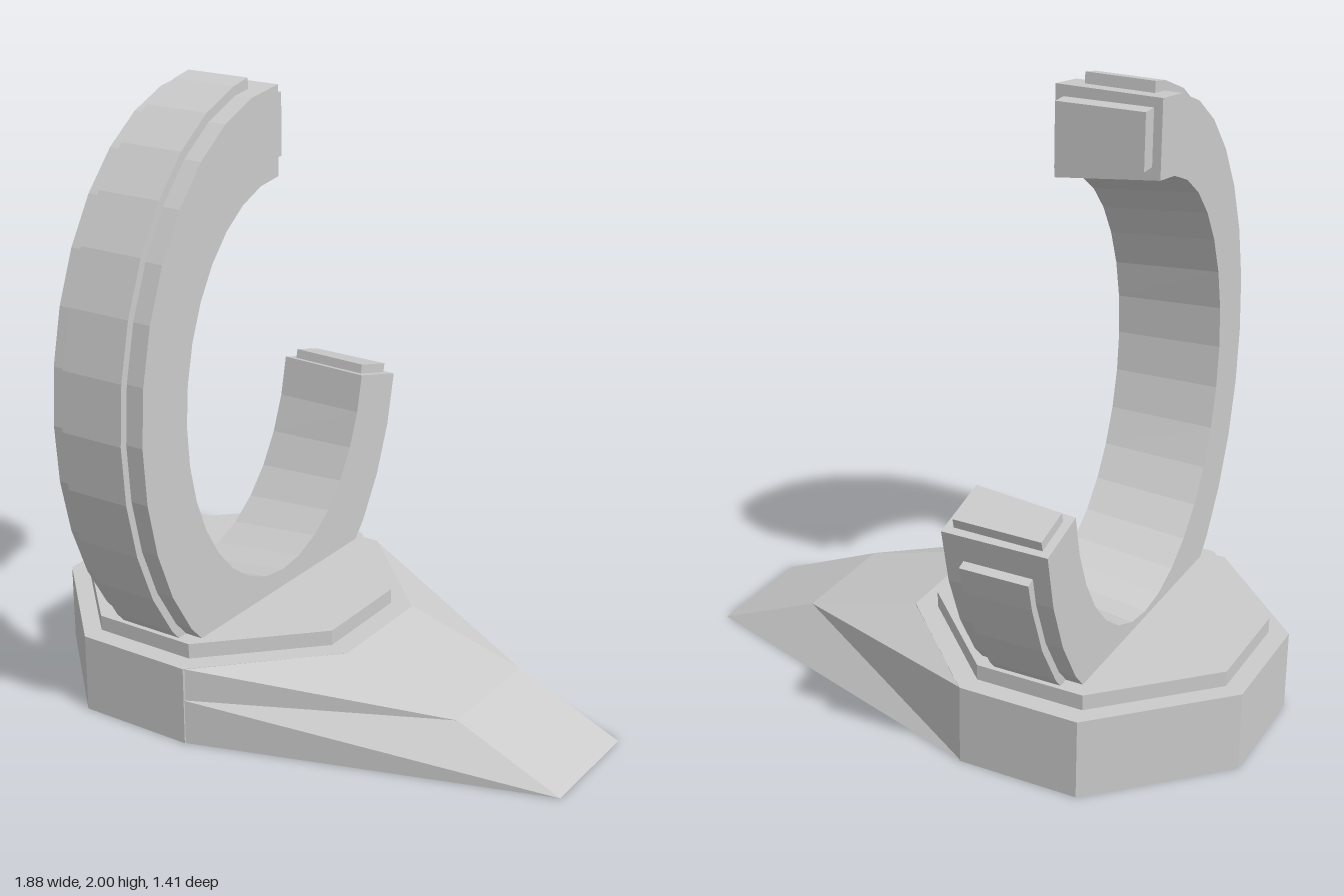
import * as THREE from 'three';

const material = new THREE.MeshStandardMaterial({ color: 0xcccccc, flatShading: true });
const Z0 = -0.01;   // shared centre line
const RY = 1.03;    // height of the ring centre
const STEP = 11.25; // degrees per ring segment

function addMesh(group, name, geometry) {
  const mesh = new THREE.Mesh(geometry, material);
  mesh.name = name;
  group.add(mesh);
  return mesh;
}

// Flat polygons (corner lists, counter-clockwise from outside) to a geometry
function polygons(faces) {
  const pos = [];
  for (const f of faces)
    for (let i = 1; i < f.length - 1; i++) pos.push(...f[0], ...f[i], ...f[i + 1]);
  const g = new THREE.BufferGeometry();
  g.setAttribute('position', new THREE.Float32BufferAttribute(pos, 3));
  g.computeVertexNormals();
  return g;
}

// Closed solid through a series of equal cross-sections
function loft(rows) {
  const faces = [[...rows[0]].reverse(), rows[rows.length - 1]];
  for (let i = 0; i < rows.length - 1; i++) {
    const a = rows[i], b = rows[i + 1], n = a.length;
    for (let j = 0; j < n; j++) {
      const k = (j + 1) % n;
      faces.push([a[j], a[k], b[k], b[j]]);
    }
  }
  return polygons(faces);
}

// Octagonal slab with half width r and half side length s
function octagonSlab(r, s, height) {
  const shape = new THREE.Shape(
    [[r, -s], [r, s], [s, r], [-s, r], [-r, s], [-r, -s], [-s, -r], [s, -r]]
      .map(([x, y]) => new THREE.Vector2(x, y)));
  return new THREE.ExtrudeGeometry(shape, { depth: height, bevelEnabled: false }).rotateX(-Math.PI / 2);
}

// Elliptical arc point: 90 degrees is the top, 0 is the front
function arcPoint(x, az, ay, deg) {
  const t = THREE.MathUtils.degToRad(deg);
  return [x, RY + ay * Math.sin(t), Z0 + az * Math.cos(t)];
}

// Ring cross-section; the hollow widens towards the right side
const ringSection = (deg) => [
  arcPoint(-0.535, 0.52, 0.70, deg), arcPoint(-0.2, 0.485, 0.66, deg),
  arcPoint(-0.2, 0.695, 0.94, deg), arcPoint(-0.535, 0.695, 0.94, deg)];

const bandSection = (deg) => [
  arcPoint(-0.48, 0.66, 0.90, deg), arcPoint(-0.26, 0.66, 0.90, deg),
  arcPoint(-0.26, 0.72, 0.97, deg), arcPoint(-0.48, 0.72, 0.97, deg)];

// Section shrunk within the end face of the ring
function insetSection(deg) {
  const [a, b, c, d] = ringSection(deg).map((p) => new THREE.Vector3(...p));
  const at = (u, v) => a.clone().lerp(b, u).lerp(d.clone().lerp(c, u), v).toArray();
  return [at(0.08, 0.16), at(0.92, 0.16), at(0.92, 0.875), at(0.08, 0.875)];
}

const shift = (row, dy, dz) => row.map(([x, y, z]) => [x, y + dy, z + dz]);

export function createModel() {
  const model = new THREE.Group();
  model.name = 'ringOnPedestal';

  // Octagonal pedestal and raised plate
  addMesh(model, 'pedestal', octagonSlab(0.56, 0.195, 0.26)).position.set(-0.38, 0, Z0);
  addMesh(model, 'plate', octagonSlab(0.495, 0.175, 0.05)).position.set(-0.385, 0.26, Z0);

  // Sloping ramp with tapering flanks
  const A = [-0.19, 0.26, 0.56], M = [-0.19, 0.15, 0.56], G = [-0.19, 0, 0.56];
  const B = [0.18, 0.26, 0.197], C = [0.58, 0.15, 0.197], D = [0.935, 0, 0.197];
  const mirror = ([x, y, z]) => [x, y, -z];
  const flank = [[A, C, B], [M, C, A], [M, G, D, C]];
  const faces = [
    ...flank,
    ...flank.map((f) => f.map(mirror).reverse()),
    [B, C, mirror(C), mirror(B)],
    [C, D, mirror(D), mirror(C)],
    [G, mirror(G), mirror(D), D],
  ];
  addMesh(model, 'ramp', polygons(faces)).position.z = Z0;

  // Open ring and the raised band around its rim
  const angles = Array.from({ length: 24 }, (_, i) => 90 - i * STEP);
  const last = angles[23];
  addMesh(model, 'openRing', loft(angles.map(ringSection)));
  const bandAngles = [90 - STEP / 2, ...angles.slice(1, 23), last + STEP / 2];
  addMesh(model, 'rimBand', loft(bandAngles.map(bandSection)));

  // Blocks on the two ends of the ring
  const top = insetSection(90), low = insetSection(last);
  addMesh(model, 'upperEndBlock', loft([shift(top, 0, -0.055), top]));
  addMesh(model, 'lowerEndBlock', loft([low, shift(low, 0.03, -0.0075)]));

  return model;
}
